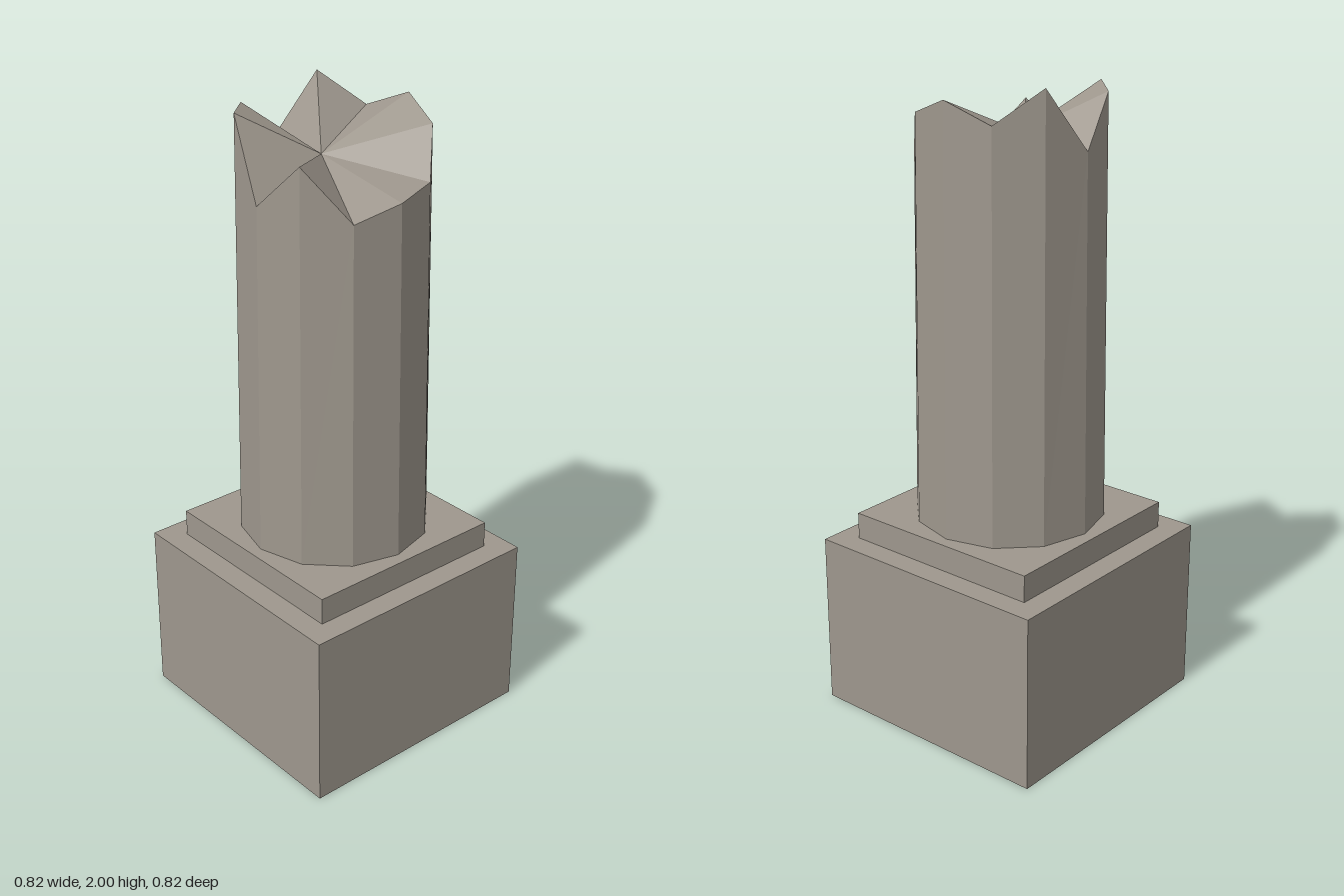
import * as THREE from 'three';

const BASE_TOP = 0.56, STEP_TOP = 0.645, SIDES = 12;

export function createModel() {
  const stone = new THREE.MeshStandardMaterial({ color: 0x9e978d });
  stone.name = 'weathered stone';
  stone.flatShading = true;

  const model = new THREE.Group();
  model.name = 'brokenColumn';
  const add = (name, geometry, y = 0) => {
    const mesh = new THREE.Mesh(geometry, stone);
    mesh.name = name;
    mesh.position.y = y;
    model.add(mesh);
  };

  // Square pedestal and the thin step on it
  add('pedestal', new THREE.BoxGeometry(0.82, BASE_TOP, 0.82), BASE_TOP / 2);
  add('step', new THREE.BoxGeometry(0.67, STEP_TOP - BASE_TOP, 0.67), (BASE_TOP + STEP_TOP) / 2);

  // Tapered shaft; the rim is broken off at a different height at each corner,
  // starting at the front and turning towards +x
  const rim = [1.74, 1.88, 1.72, 1.76, 1.78, 1.905, 1.96, 1.9, 2.0, 1.81, 1.955, 1.965];
  const shaft = new THREE.CylinderGeometry(0.283, 0.297, 1, SIDES);
  const p = shaft.attributes.position;
  for (let i = 0; i < p.count; i++) {
    const x = p.getX(i), z = p.getZ(i);
    if (p.getY(i) < 0) {
      p.setY(i, STEP_TOP);
    } else if (Math.hypot(x, z) < 0.01) {
      p.setXYZ(i, -0.03, 1.83, 0.024); // hollow in the middle of the break
    } else {
      const k = Math.round(Math.atan2(x, z) / (2 * Math.PI) * SIDES);
      p.setY(i, rim[(k + SIDES) % SIDES]);
    }
  }
  shaft.computeVertexNormals();
  add('brokenShaft', shaft);

  return model;
}
